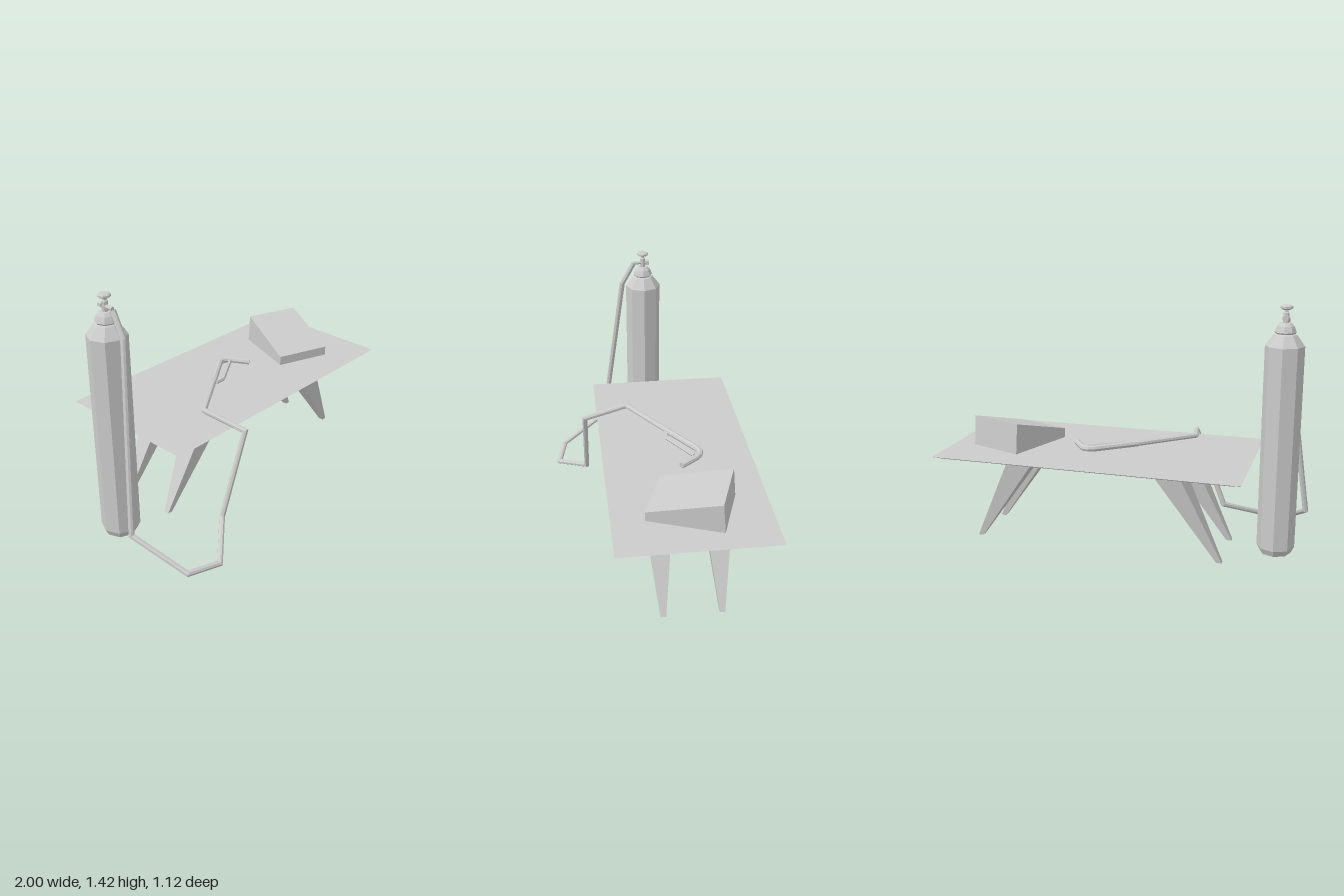
import * as THREE from 'three';

const material = new THREE.MeshStandardMaterial({ color: 0xcccccc, flatShading: true });
const V = (x, y, z) => new THREE.Vector3(x, y, z);

function add(group, name, geometry) {
  const mesh = new THREE.Mesh(geometry, material);
  mesh.name = name;
  group.add(mesh);
  return mesh;
}

// Skin over rings that run counter-clockwise as seen from the last ring, with capped ends.
function loft(rings) {
  const n = rings[0].length, last = (rings.length - 1) * n, index = [];
  for (let r = 0; r < rings.length - 1; r++) {
    for (let i = 0; i < n; i++) {
      const a = r * n + i, b = r * n + (i + 1) % n;
      index.push(a, b, b + n, a, b + n, a + n);
    }
  }
  for (let i = 1; i < n - 1; i++) {
    index.push(0, i + 1, i, last, last + i, last + i + 1);
  }
  const g = new THREE.BufferGeometry().setFromPoints(rings.flat());
  g.setIndex(index);
  const flat = g.toNonIndexed();
  flat.computeVertexNormals();
  return flat;
}

// Horizontal rectangle, counter-clockwise from above.
const rect = (x0, x1, z0, z1, y) => [V(x0, y, z1), V(x1, y, z1), V(x1, y, z0), V(x0, y, z0)];

// Faceted tube with mitred corners: each ring slides along its segment to the mitre plane.
function mitredTube(points, radius, sides = 8) {
  const dirs = points.slice(1).map((p, i) => p.clone().sub(points[i]).normalize());
  const u = V(0, 1, 0).cross(dirs[0]).normalize();
  const v = dirs[0].clone().cross(u);
  let ring = [];
  for (let i = 0; i < sides; i++) {
    const a = (i / sides) * Math.PI * 2;
    ring.push(points[0].clone().addScaledVector(u, radius * Math.cos(a)).addScaledVector(v, radius * Math.sin(a)));
  }
  const rings = [ring];
  dirs.forEach((d, i) => {
    const normal = d.clone().add(dirs[i + 1] || d).normalize();
    ring = ring.map(p => p.clone().addScaledVector(d, points[i + 1].clone().sub(p).dot(normal) / d.dot(normal)));
    rings.push(ring);
  });
  return loft(rings);
}

function lathe(profile, sides) {
  return new THREE.LatheGeometry(profile.map(([r, y]) => new THREE.Vector2(r, y)), sides);
}

function createTable() {
  const table = new THREE.Group();
  table.name = 'table';
  add(table, 'tableTop', loft([
    rect(-0.67, 0.955, -0.52, 0.25, 0.565),
    rect(-0.715, 1, -0.56, 0.29, 0.583),
  ]));
  // Tapered legs splay outwards from the middle of the top
  const middle = 0.142;
  for (const side of [-1, 1]) {
    for (const z of [0.03, -0.29]) {
      const foot = middle + side * 0.713, hip = middle + side * 0.40;
      add(table, 'tableLeg', loft([
        rect(foot - 0.015, foot + 0.015, z - 0.015, z + 0.015, 0.033),
        rect(hip - 0.08, hip + 0.08, z - 0.08, z + 0.08, 0.567),
      ]));
    }
  }
  return table;
}

function createTank() {
  const tank = new THREE.Group();
  tank.name = 'gasTank';
  tank.position.set(-0.846, 0, -0.054);
  add(tank, 'tankBody', lathe([
    [0, 0.033], [0.088, 0.033], [0.106, 0.07], [0.106, 1.21], [0.062, 1.27], [0.052, 1.275],
    [0.058, 1.283], [0.05, 1.305], [0.046, 1.315], [0.03, 1.332], [0, 1.332],
  ], 8));
  // Valve stem and hand wheel
  add(tank, 'valveStem', lathe([[0.016, 1.325], [0.016, 1.385], [0.01, 1.39], [0.01, 1.405]], 8));
  add(tank, 'handWheel', lathe([
    [0, 1.402], [0.022, 1.402], [0.034, 1.409], [0.034, 1.419], [0.026, 1.425], [0, 1.425],
  ], 8));
  // Cross pipe with a nut at the back
  const pipe = add(tank, 'valveOutlet', new THREE.CylinderGeometry(0.011, 0.011, 0.09, 8));
  pipe.rotation.x = Math.PI / 2;
  pipe.position.set(0, 1.358, 0.012);
  const nut = add(tank, 'valveNut', new THREE.CylinderGeometry(0.017, 0.017, 0.025, 6));
  nut.rotation.x = Math.PI / 2;
  nut.position.set(0, 1.36, -0.027);
  return tank;
}

function createTorch() {
  const torch = new THREE.Group();
  torch.name = 'hoseAndTorch';
  add(torch, 'hose', mitredTube([
    V(-0.846, 1.355, 0.025), V(-0.846, 1.352, -0.002), V(-0.846, 1.352, 0.005),
  ].slice(2).concat([
    V(-0.85, 1.225, 0.075), V(-0.985, 0.195, 0.205), V(-0.87, 0.042, 0.495), V(-0.68, 0.019, 0.54),
    V(-0.475, 0.118, 0.362), V(-0.297, 0.585, 0.365), V(-0.345, 0.63, 0.105), V(-0.03, 0.617, -0.122),
  ]), 0.016));
  // Rigid neck, curving round to the tip
  add(torch, 'torchNeck', mitredTube([
    V(-0.05, 0.617, -0.108), V(0.155, 0.614, -0.255), V(0.185, 0.613, -0.264),
    V(0.213, 0.612, -0.257), V(0.233, 0.611, -0.238), V(0.298, 0.606, -0.142),
  ], 0.018));
  // Squeeze lever beside the neck
  add(torch, 'torchLever', mitredTube([
    V(-0.04, 0.612, -0.095), V(0.02, 0.612, -0.098), V(0.215, 0.612, -0.226),
  ], 0.012, 6));
  return torch;
}

export function createModel() {
  const model = new THREE.Group();
  model.name = 'workbenchWithGasTorch';
  model.add(createTable(), createTank(), createTorch());

  // Sloping block turned on the table
  const w = 0.163, d = 0.208;
  const block = add(model, 'wedgeBlock', loft([
    rect(-w, w, -d, d, 0),
    [V(-w, 0.055, d), V(w, 0.055, d), V(w, 0.17, -d + 0.016), V(-w, 0.17, -d + 0.016)],
  ]));
  block.position.set(0.652, 0.584, -0.14);
  block.rotation.y = -0.35;
  return model;
}
